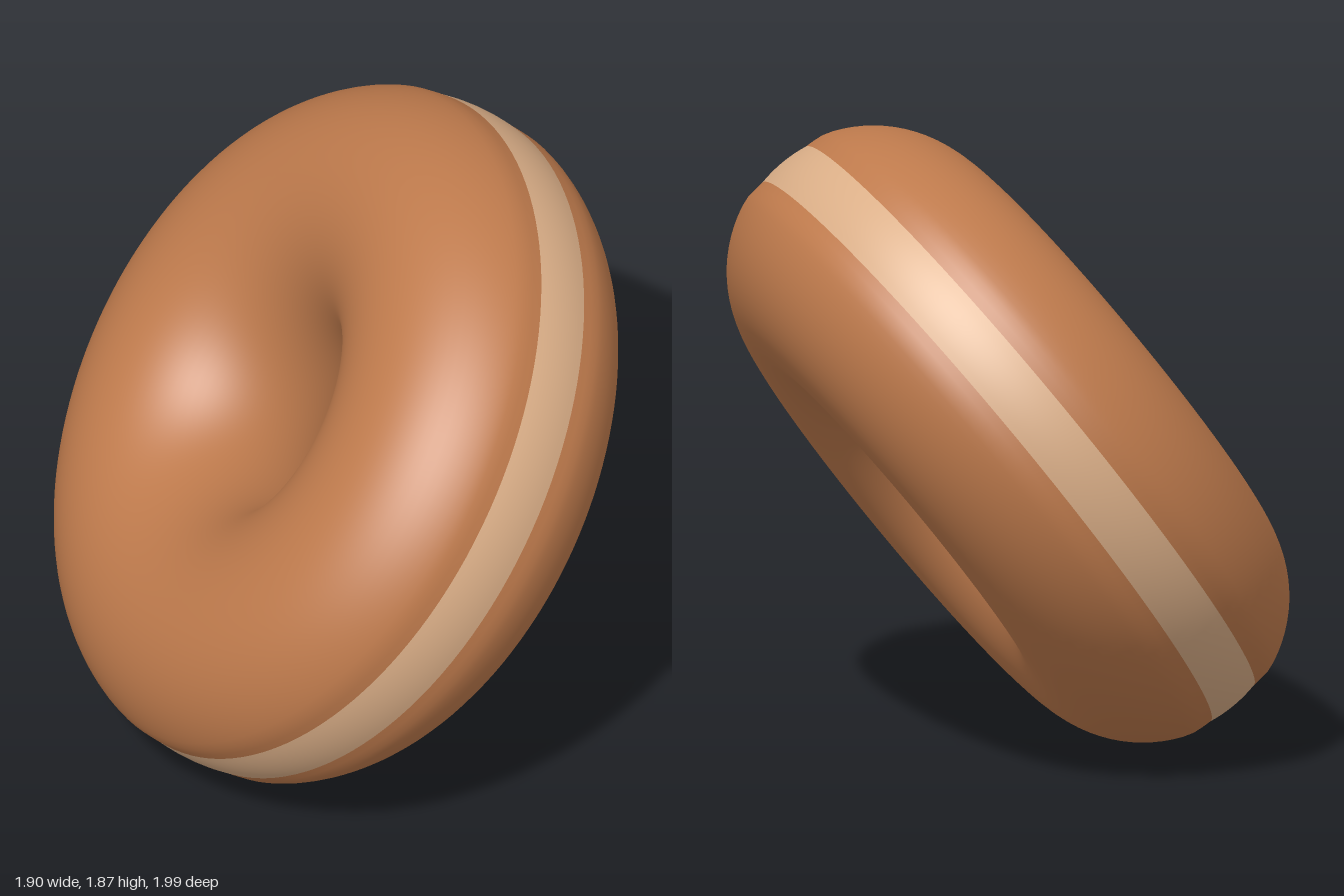
import * as THREE from 'three';

const MAJOR = 0.672;      // ring radius to the middle of the tube
const RADIAL = 0.408;     // tube half-size across the ring
const AXIAL = 0.42;       // tube half-size along the ring axis
const SEAM = 0.2;         // tube angle where dough meets the pale band
const PINCH = 0.012;      // depth of the seam

// The ring axis leans towards the upper front
const AXIS = new THREE.Vector3(-0.6, 0.607, 0.52).normalize();
const TILT = new THREE.Quaternion().setFromUnitVectors(new THREE.Vector3(0, 1, 0), AXIS);
// Direction of the shortest diameter, in the ring's own frame
const SHORT = new THREE.Vector3(0.3, 1, 0).applyQuaternion(TILT.clone().invert());

// Revolve part of the tube section, shaped by a radial offset
function ringPart(from, to, steps, offset) {
  const points = [];
  for (let i = 0; i <= steps; i++) {
    const t = from + (to - from) * i / steps;
    points.push(new THREE.Vector2(
      MAJOR + RADIAL * Math.cos(t) + offset(t),
      AXIAL * Math.sin(t)));
  }
  const geometry = new THREE.LatheGeometry(points, 128);
  // Slightly oval rim around a round hole
  const short = Math.atan2(SHORT.z, SHORT.x);
  const p = geometry.attributes.position;
  for (let i = 0; i < p.count; i++) {
    const x = p.getX(i), z = p.getZ(i);
    const w = THREE.MathUtils.smoothstep(Math.hypot(x, z), 0.3, 0.9);
    const s = 1 - 0.015 * w * Math.cos(2 * (Math.atan2(z, x) - short));
    p.setXYZ(i, x * s, p.getY(i), z * s);
  }
  return geometry;
}

export function createModel() {
  const model = new THREE.Group();
  model.name = 'doughnut';
  const brown = new THREE.MeshStandardMaterial({ color: 0xbe7a4c });
  brown.name = 'fried brown';
  const cream = new THREE.MeshStandardMaterial({ color: 0xdaae87 });
  cream.name = 'pale dough';

  const ring = new THREE.Group();
  ring.name = 'ring';

  // Fried dough on both faces and through the hole, pinched at the seams
  const pinch = (t) => {
    const d = Math.min(t - SEAM, 2 * Math.PI - SEAM - t);
    return -PINCH * Math.exp(-((d / 0.1) ** 2));
  };
  const dough = new THREE.Mesh(ringPart(SEAM, 2 * Math.PI - SEAM, 80, pinch), brown);
  dough.name = 'friedDough';

  // Pale band, almost flat, around the rim
  const band = new THREE.Mesh(ringPart(-SEAM, SEAM, 8, () => -PINCH), cream);
  band.name = 'paleBand';

  // Tilt the ring and rest it on the ground
  ring.add(dough, band);
  ring.quaternion.copy(TILT);
  model.add(ring);
  model.updateMatrixWorld(true);
  ring.position.y = -new THREE.Box3().setFromObject(model, true).min.y;
  return model;
}
